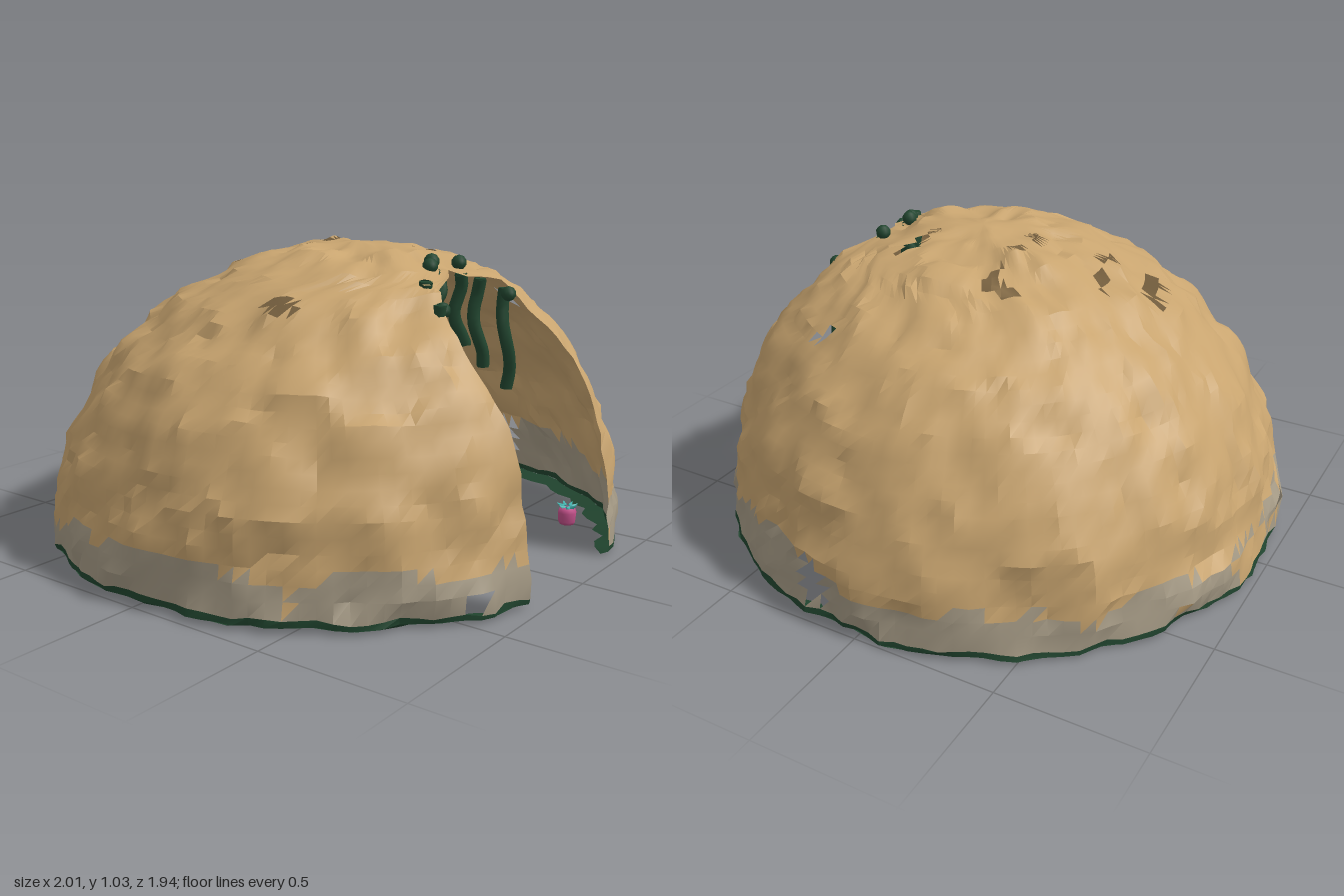
import * as THREE from 'three';
import { toCreasedNormals } from 'three/addons/utils/BufferGeometryUtils.js';

const mat = (name, color, side = THREE.FrontSide) => {
  const m = new THREE.MeshStandardMaterial({ color, side });
  m.name = name;
  return m;
};

// Seeded value noise based on position, 0..1
const hash = (i, j, k) => {
  const s = Math.sin(i * 127.1 + j * 311.7 + k * 74.7) * 43758.5453;
  return s - Math.floor(s);
};
function noise(x, y, z) {
  const i = Math.floor(x), j = Math.floor(y), k = Math.floor(z);
  const ease = (t) => t * t * (3 - 2 * t);
  const u = ease(x - i), v = ease(y - j), w = ease(z - k);
  let sum = 0;
  for (let n = 0; n < 8; n++) {
    const a = n & 1, b = (n >> 1) & 1, c = n >> 2;
    sum += hash(i + a, j + b, k + c) * (a ? u : 1 - u) * (b ? v : 1 - v) * (c ? w : 1 - w);
  }
  return sum;
}

const HEIGHT = 1.03, BASE = 0.017;
const spread = (y) => Math.sqrt(Math.max(0, 1 - (y / HEIGHT) ** 2.24));
const lean = (y) => 0.1 * y * y;

// Point on the smooth dome at height y and angle t from the front
function domePoint(y, t, scale = 1) {
  const s = spread(y) * scale;
  const depth = Math.cos(t) > 0 ? 1.005 : 0.975;
  return new THREE.Vector3(s * 0.992 * Math.sin(t), y, s * depth * Math.cos(t) + lean(y));
}

// Angle at which the arched doorway starts for a given height
function doorAngle(y) {
  if (y >= 0.945) return 0;
  const half = y < 0.72 ? 0.28 : 0.28 * (1 - ((y - 0.72) / 0.225) ** 2.4) ** 0.45;
  return Math.asin(Math.min(0.95, half / spread(y)));
}

// Uneven clay surface
function roughPoint(y, t) {
  const p = domePoint(y, t);
  const bump = 0.045 * (noise(p.x * 9 + 40, p.y * 9 + 7, p.z * 9 + 40) - 0.5)
    + 0.026 * (noise(p.x * 21 + 80, p.y * 21 + 9, p.z * 21 + 80) - 0.5);
  const out = new THREE.Vector3(p.x, p.y, p.z - lean(p.y)).normalize();
  p.addScaledVector(out, bump);
  if (y > 0.9) p.y = Math.min(p.y, 1.035);
  if (y < 0.04) p.y = y + 0.7 * y * (noise(p.x * 12 + 30, 3, p.z * 12 + 30) - 0.5);
  return p;
}

// Broken gaps: roof gaps as [x, z, halfX, halfZ, turn], wall gaps as [x, y, z, halfWide, halfHigh]
const roofGaps = [
  [-0.2, -0.45, 0.09, 0.035, 0.2], [-0.1, -0.5, 0.04, 0.025, 1], [0.0, -0.35, 0.08, 0.02, 0.4],
  [-0.12, -0.31, 0.05, 0.02, 0], [0.3, -0.13, 0.025, 0.07, 0], [0.25, -0.08, 0.05, 0.018, 0],
  [-0.02, -0.09, 0.04, 0.02, 0.7], [0.1, -0.08, 0.04, 0.018, -0.5], [-0.53, 0.2, 0.04, 0.06, 0],
  [0.18, 0.26, 0.1, 0.02, -0.2], [0.58, 0.37, 0.018, 0.045, 0],
];
const wallGaps = [
  [0.98, 0.14, 0.18, 0.05, 0.08], [-0.25, 0.115, -0.93, 0.07, 0.02], [-0.47, 0.07, 0.87, 0.045, 0.03],
];
function inGap(c) {
  if (c.y > 0.5) {
    return roofGaps.some(([x, z, hx, hz, a]) => {
      const dx = c.x - x, dz = c.z - z;
      const u = dx * Math.cos(a) - dz * Math.sin(a), v = dx * Math.sin(a) + dz * Math.cos(a);
      return Math.abs(u / hx) + Math.abs(v / hz) < 1.15;
    });
  }
  return wallGaps.some(([x, y, z, w, h]) =>
    Math.hypot(c.x - x, c.z - z) < w && Math.abs(c.y - y) < h);
}

// Stone footing with an uneven top and a few clay smears
function isStone(c) {
  const top = 0.12 + 0.12 * noise(c.x * 6 + 20, 1, c.z * 6 + 20);
  const smear = noise(c.x * 7 + 60, c.y * 12, c.z * 7 + 60) > 0.74;
  return c.y < top && !smear;
}

// Dome shell: rows of open arcs that close above the doorway
function buildShell(materials) {
  const cols = 116, heights = [BASE, 0.036];
  for (let i = 2; i <= 34; i++) heights.push(HEIGHT * Math.sin((i / 34) * Math.PI / 2));
  const pts = [], faces = [[], [], []];
  for (const y of heights) {
    const t0 = doorAngle(y);
    for (let j = 0; j <= cols; j++) pts.push(roughPoint(y, t0 + (j / cols) * 2 * (Math.PI - t0)));
  }
  const addFace = (row, ...tri) => {
    const c = new THREE.Vector3();
    tri.forEach((i) => c.add(pts[i]));
    c.divideScalar(3);
    if (inGap(c)) return;
    faces[row === 0 ? 2 : isStone(c) ? 1 : 0].push(...tri);
  };
  for (let i = 0; i < heights.length - 1; i++) {
    for (let j = 0; j < cols; j++) {
      const a = i * (cols + 1) + j, b = a + 1, c = b + cols + 1, d = a + cols + 1;
      addFace(i, a, b, c);
      addFace(i, a, c, d);
    }
  }
  const geo = new THREE.BufferGeometry().setFromPoints(pts);
  geo.setIndex(faces.flat());
  let start = 0;
  faces.forEach((f, k) => { geo.addGroup(start, f.length, k); start += f.length; });
  const mesh = new THREE.Mesh(toCreasedNormals(geo, 0.45), materials);
  mesh.name = 'domeShell';
  return mesh;
}

// Mossy lip sloping down and inward under the foot of the wall
function buildLip(material) {
  const n = 90, t0 = doorAngle(BASE), pts = [], index = [];
  for (let j = 0; j <= n; j++) {
    const t = t0 + (j / n) * 2 * (Math.PI - t0);
    pts.push(roughPoint(BASE, t), domePoint(0.006, t, 0.93 + 0.04 * hash(j, 2, 5)));
    if (j < n) index.push(2 * j, 2 * j + 1, 2 * j + 3, 2 * j, 2 * j + 3, 2 * j + 2);
  }
  const geo = new THREE.BufferGeometry().setFromPoints(pts);
  geo.setIndex(index);
  geo.computeVertexNormals();
  const mesh = new THREE.Mesh(geo, material);
  mesh.name = 'mossLip';
  return mesh;
}

// Vine hanging from the arch, gently wavy
function buildVine([x, top, z, endX, bottom], material) {
  const pts = [];
  for (let i = 0; i <= 6; i++) {
    const f = i / 6;
    pts.push(new THREE.Vector3(
      THREE.MathUtils.lerp(x, endX, f) + 0.012 * Math.sin(f * 7 + x * 9),
      THREE.MathUtils.lerp(top, bottom, f),
      z + 0.012 * Math.sin(f * 6 + x * 20)));
  }
  const vine = new THREE.Group();
  vine.name = 'vine';
  const stem = new THREE.Mesh(new THREE.TubeGeometry(new THREE.CatmullRomCurve3(pts), 14, 0.022, 7), material);
  stem.name = 'vineStem';
  vine.add(stem);
  for (const p of [pts[0], pts[6]]) {
    const end = new THREE.Mesh(new THREE.CylinderGeometry(0.021, 0.021, 0.006, 7), material);
    end.name = 'vineEnd';
    end.position.copy(p);
    vine.add(end);
  }
  return vine;
}

// Blunt bulb flower with a crown of small leaves
function buildFlower(x, z, pink, teal) {
  const flower = new THREE.Group();
  flower.name = 'flower';
  const profile = [[0, 0], [0.026, 0.001], [0.032, 0.012], [0.035, 0.045], [0.028, 0.062], [0, 0.066]]
    .map(([r, y]) => new THREE.Vector2(r, y));
  const bulb = new THREE.Mesh(new THREE.LatheGeometry(profile, 8), pink);
  bulb.name = 'flowerBulb';
  flower.add(bulb);
  for (let i = 0; i < 7; i++) {
    const a = (i / 7) * Math.PI * 2;
    const leaf = new THREE.Mesh(new THREE.ConeGeometry(0.011, 0.03, 4), teal);
    leaf.name = 'flowerLeaf';
    leaf.position.set(0.027 * Math.cos(a), 0.069, 0.027 * Math.sin(a));
    leaf.rotation.set(Math.sin(a) * 1.1, 0, -Math.cos(a) * 1.1);
    flower.add(leaf);
  }
  flower.position.set(x, 0.002, z);
  return flower;
}

export function createModel() {
  const group = new THREE.Group();
  group.name = 'domeHut';
  const clay = mat('clay', 0xc8a46f, THREE.DoubleSide);
  const stone = mat('stone', 0xa59a85, THREE.DoubleSide);
  const moss = mat('moss', 0x21452f, THREE.DoubleSide);
  const pink = mat('pink', 0xc04f88);
  const teal = mat('teal', 0x48bdb8);

  group.add(buildShell([clay, stone, moss]), buildLip(moss));

  // Vines: top x, top y, z, bottom x, bottom y
  const vines = [
    [-0.235, 0.885, 0.59, -0.225, 0.545], [-0.185, 0.945, 0.51, -0.165, 0.7], [-0.055, 0.95, 0.47, -0.07, 0.82],
    [-0.03, 0.95, 0.45, -0.04, 0.83], [0.065, 0.94, 0.47, 0.1, 0.7], [0.125, 0.92, 0.51, 0.155, 0.62],
    [0.195, 0.885, 0.58, 0.225, 0.54],
  ];
  vines.forEach((v) => group.add(buildVine(v, moss)));

  // Vine knots poking out above the arch
  for (const [x, y, z] of [[-0.07, 0.98, 0.45], [-0.03, 0.99, 0.43], [0.1, 0.975, 0.455], [0.2, 0.87, 0.59], [-0.23, 0.87, 0.6]]) {
    const knot = new THREE.Mesh(new THREE.IcosahedronGeometry(0.026, 1), moss);
    knot.name = 'vineKnot';
    knot.position.set(x, y, z);
    group.add(knot);
  }

  // Flowers standing just inside the wall foot
  const flowers = [
    [0.815, -0.1], [0.49, 0.7], [0.6, -0.54], [0.56, -0.59], [0.45, -0.69], [0.41, -0.72], [0.25, -0.79],
    [-0.355, -0.76], [-0.66, -0.51], [-0.76, -0.37], [-0.805, -0.25], [-0.84, -0.13], [-0.46, 0.715],
    [-0.625, 0.565], [-0.67, 0.53],
  ];
  flowers.forEach(([x, z]) => group.add(buildFlower(x, z, pink, teal)));
  return group;
}
